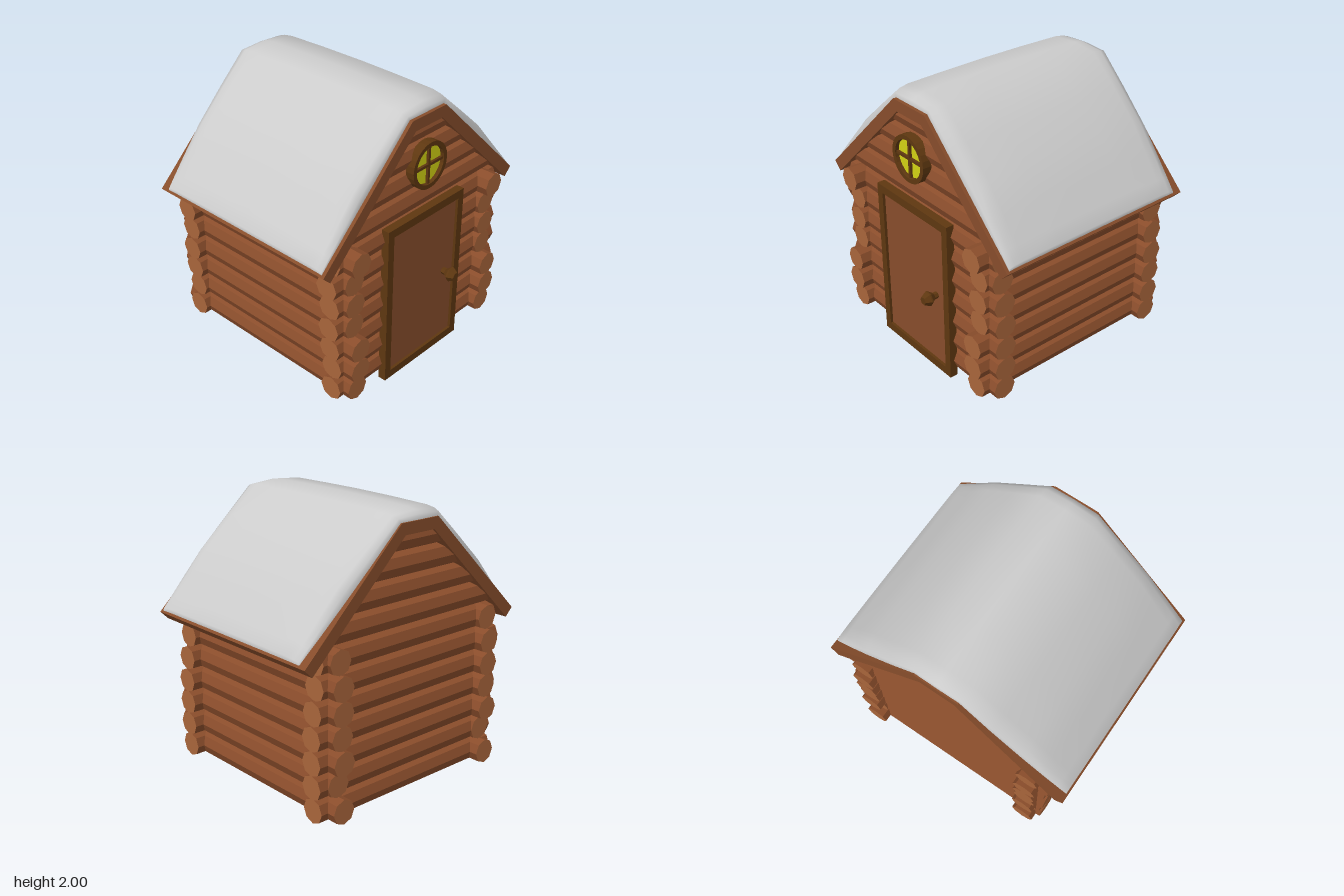
import * as THREE from 'three';

const paint = (color, extra = {}) => new THREE.MeshStandardMaterial({ color, ...extra });
const flat = { flatShading: true };
const bark = paint(0x8a4d2b, flat);
const cutWood = paint(0xa8653b, flat);
const board = paint(0x874d2b, flat);
const darkWood = paint(0x5e3710, flat);
const glass = paint(0xd2d214, flat);
const snowMat = paint(0xcccccc, { side: THREE.DoubleSide });

const LOG_R = 0.0875, ROW = 0.167, FIRST_ROW = 0.132;
const WALL_X = 0.68, FRONT_Z = 0.65, BACK_Z = -0.71;

function add(parent, name, geometry, material, x = 0, y = 0, z = 0) {
  const mesh = new THREE.Mesh(geometry, material);
  mesh.name = name;
  mesh.position.set(x, y, z);
  parent.add(mesh);
  return mesh;
}

// Eight-sided log running along x or z between two ends
function logGeometry(from, to, axis) {
  const g = new THREE.CylinderGeometry(LOG_R, LOG_R, to - from, 8);
  if (axis === 'x') g.rotateZ(-Math.PI / 2).translate((from + to) / 2, 0, 0);
  else g.rotateX(Math.PI / 2).translate(0, 0, (from + to) / 2);
  return g;
}
const logMats = [bark, cutWood, cutWood];

function buildWalls() {
  const walls = new THREE.Group();
  walls.name = 'logWalls';
  // uneven log ends, one pair per row
  const xEnds = [[-0.8, 0.82], [-0.79, 0.83], [-0.81, 0.83], [-0.82, 0.83], [-0.81, 0.82], [-0.835, 0.8], [-0.8, 0.8]];
  const zEnds = [[-0.855, 0.78], [-0.8, 0.81], [-0.86, 0.81], [-0.84, 0.75], [-0.85, 0.76], [-0.85, 0.75], [-0.82, 0.81]];
  for (let i = 0; i < 7; i++) {
    const y = FIRST_ROW + i * ROW;
    add(walls, 'frontLog', logGeometry(...xEnds[i], 'x'), logMats, 0, y, FRONT_Z);
    add(walls, 'backLog', logGeometry(...xEnds[i], 'x'), logMats, 0, y, BACK_Z);
    for (const s of [-1, 1])
      add(walls, 'sideLog', logGeometry(...zEnds[i], 'z'), logMats, s * WALL_X, y, 0);
  }
  // gable logs, ends cut to the roof slope
  for (let i = 7; i < 11; i++) {
    const y = FIRST_ROW + i * ROW;
    const g = logGeometry(-1, 1, 'x');
    const p = g.attributes.position;
    for (let k = 0; k < p.count; k++)
      p.setX(k, p.getX(k) * (0.16 + (1.84 - y - p.getY(k)) * 1.027));
    add(walls, 'frontGableLog', g, logMats, 0, y, FRONT_Z);
    add(walls, 'backGableLog', g, logMats, 0, y, BACK_Z);
  }
  return walls;
}

// Bent board roof with a flat ridge
function buildRoof() {
  const half = [[0.165, 1.92], [0.96, 1.15], [0.9, 1.09], [0.13, 1.84]];
  const mirrored = half.map(([x, y]) => [-x, y]).reverse();
  const shape = new THREE.Shape([...half, ...mirrored].map(([x, y]) => new THREE.Vector2(x, y)));
  return new THREE.ExtrudeGeometry(shape, { depth: 1.56, bevelEnabled: false }).translate(0, 0, -0.81);
}

// Snow blanket: a section that swells from the roof line along z
function buildSnow() {
  // x, y on the roof, then x, y on the snow surface
  const half = [
    [0, 1.92, 0, 2.0], [0.165, 1.92, 0.2, 1.98], [0.38, 1.71, 0.42, 1.795], [0.62, 1.48, 0.62, 1.62],
    [0.78, 1.325, 0.77, 1.43], [0.88, 1.23, 0.885, 1.28], [0.945, 1.165, 0.95, 1.195], [0.95, 1.155, 0.945, 1.16],
  ];
  const section = [...half.slice(1).reverse().map(([a, b, c, d]) => [-a, b, -c, d]), ...half];
  // z station and swelling
  const stations = [[0.725, 0], [0.722, 0.45], [0.68, 0.72], [0.61, 0.88], [0.3, 0.96], [0, 1],
    [-0.35, 0.96], [-0.68, 0.85], [-0.75, 0.7], [-0.795, 0.45], [-0.8, 0]];
  const pos = [], index = [], n = section.length;
  stations.forEach(([z, f], i) => {
    section.forEach(([rx, ry, sx, sy], j) => {
      const x = rx + (sx - rx) * f;
      const taper = z < -0.6 ? 0.055 * (x / 0.95) ** 2 : 0;
      pos.push(x, ry + (sy - ry) * f, z + taper);
      if (i && j) {
        const d = i * n + j, c = d - 1, b = d - n, a = b - 1;
        index.push(a, b, c, b, d, c);
      }
    });
  });
  const g = new THREE.BufferGeometry();
  g.setAttribute('position', new THREE.Float32BufferAttribute(pos, 3));
  g.setIndex(index);
  g.computeVertexNormals();
  return g;
}

function rect(Type, x, y0, y1) {
  return new Type([[-x, y0], [x, y0], [x, y1], [-x, y1]].map(([a, b]) => new THREE.Vector2(a, b)));
}

function buildDoor() {
  const door = new THREE.Group();
  door.name = 'door';
  const frame = rect(THREE.Shape, 0.385, 0, 1.22);
  frame.holes.push(rect(THREE.Path, 0.33, 0.06, 1.16));
  add(door, 'doorFrame', new THREE.ExtrudeGeometry(frame, { depth: 0.06, bevelEnabled: false }), darkWood, 0, 0, 0.71);
  add(door, 'doorPanel', new THREE.BoxGeometry(0.66, 1.1, 0.03), board, 0, 0.61, 0.735);
  // six-sided knob
  const profile = [[0.025, 0], [0.025, 0.04], [0.053, 0.075], [0.053, 0.085], [0.03, 0.125], [0, 0.125]];
  const knob = new THREE.LatheGeometry(profile.map(([r, y]) => new THREE.Vector2(r, y)), 6, Math.PI / 2);
  add(door, 'doorKnob', knob.rotateX(Math.PI / 2), darkWood, 0.23, 0.61, 0.74);
  return door;
}

function buildWindow() {
  const win = new THREE.Group();
  win.name = 'roundWindow';
  win.position.set(0, 1.555, 0);
  const ring = new THREE.Shape().absarc(0, 0, 0.168, 0, Math.PI * 2);
  ring.holes.push(new THREE.Path().absarc(0, 0, 0.137, 0, Math.PI * 2, true));
  const ringGeo = new THREE.ExtrudeGeometry(ring, { depth: 0.065, bevelEnabled: false, curveSegments: 12 });
  add(win, 'windowFrame', ringGeo, darkWood, 0, 0, 0.71);
  const pane = new THREE.CylinderGeometry(0.14, 0.14, 0.03, 12).rotateX(Math.PI / 2);
  add(win, 'windowGlass', pane, glass, 0, 0, 0.732);
  add(win, 'windowBar', new THREE.BoxGeometry(0.28, 0.02, 0.03), darkWood, 0, 0, 0.75);
  add(win, 'windowBar', new THREE.BoxGeometry(0.02, 0.28, 0.03), darkWood, 0, 0, 0.75);
  return win;
}

export function createModel() {
  const cabin = new THREE.Group();
  cabin.name = 'logCabin';
  cabin.add(buildWalls(), buildDoor(), buildWindow());
  add(cabin, 'roof', buildRoof(), board);
  add(cabin, 'snow', buildSnow(), snowMat);
  return cabin;
}
